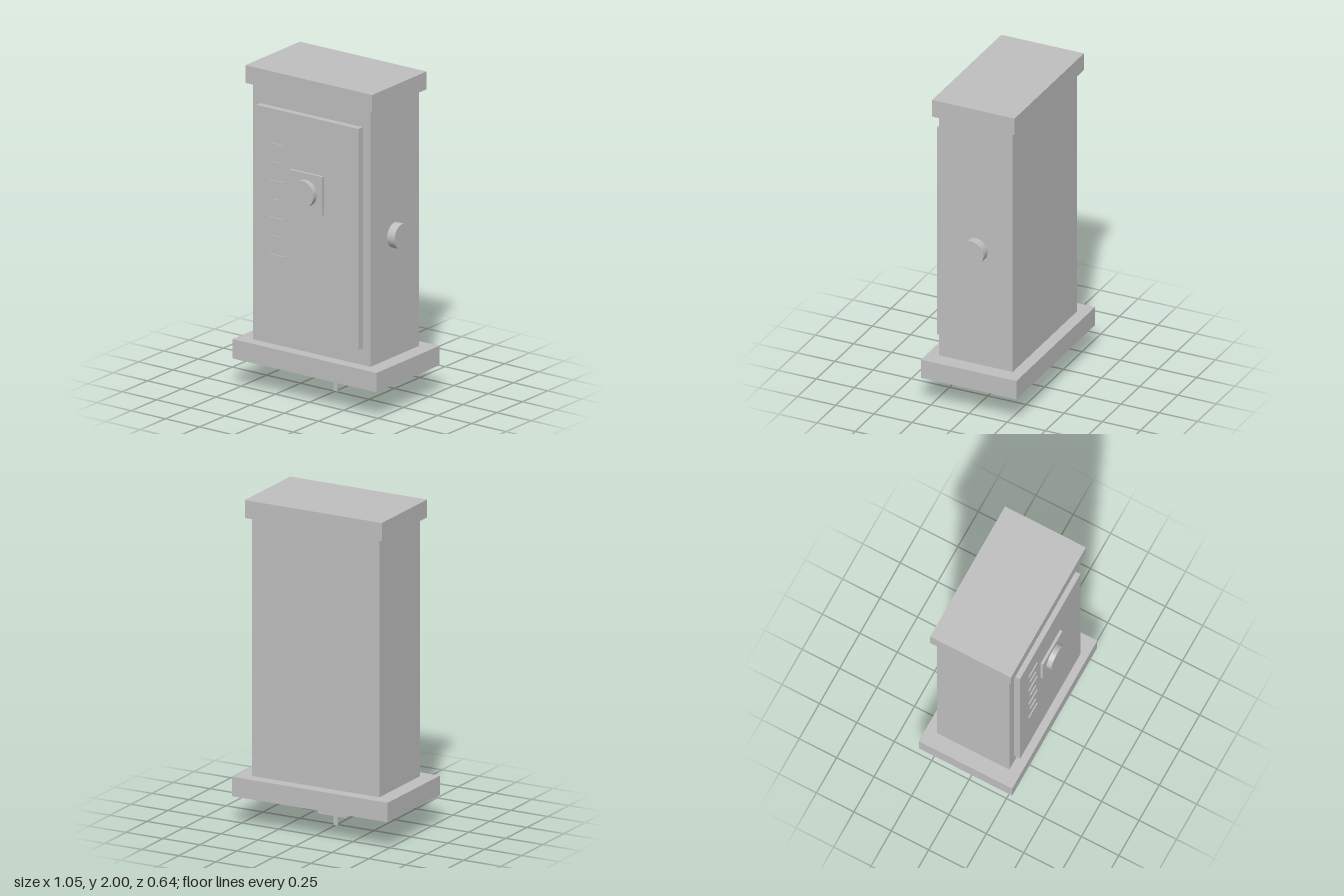
import * as THREE from 'three';

export function createModel() {
  const model = new THREE.Group();
  model.name = 'cabinet';
  const grey = new THREE.MeshStandardMaterial({ color: 0xbfbfbf });
  grey.name = 'light grey';
  const ZC = -0.0105; // depth centre of the housing

  function add(name, geometry, x, y, z) {
    const mesh = new THREE.Mesh(geometry, grey);
    mesh.name = name;
    mesh.position.set(x, y, z);
    model.add(mesh);
    return mesh;
  }

  // Box given by its limits on each axis
  function box(name, x0, x1, y0, y1, z0, z1) {
    return add(name, new THREE.BoxGeometry(x1 - x0, y1 - y0, z1 - z0),
      (x0 + x1) / 2, (y0 + y1) / 2, (z0 + z1) / 2);
  }

  // Cylinder lying along x; half = only the lower half
  function rodX(name, radius, x0, x1, y, z, half = false) {
    const g = new THREE.CylinderGeometry(radius, radius, x1 - x0, 48, 1, false,
      half ? Math.PI : 0, half ? Math.PI : Math.PI * 2);
    g.rotateZ(Math.PI / 2);
    return add(name, g, (x0 + x1) / 2, y, z);
  }

  // Housing
  box('base', -0.526, 0.526, 0.18, 0.30, ZC - 0.312, ZC + 0.312);
  box('body', -0.43, 0.43, 0.30, 1.89, ZC - 0.241, ZC + 0.241);
  box('cap', -0.463, 0.463, 1.89, 2.0, ZC - 0.27, ZC + 0.27);

  // Door with its dial
  box('door', -0.374, 0.374, 0.405, 1.775, 0.23, 0.272);
  box('dialPlate', -0.12, 0.12, 1.19, 1.43, 0.272, 0.289);
  const dial = new THREE.CylinderGeometry(0.081, 0.081, 0.033, 48);
  dial.rotateX(Math.PI / 2);
  add('dial', dial, 0, 1.31, 0.3055);

  // Scale marks, alternately long and short
  for (let i = 0; i < 7; i++) {
    const half = i % 2 ? 0.035 : 0.0525;
    const y = 1.56 - i * 0.115;
    box('scaleMark', -0.22 - half, -0.22 + half, y - 0.005, y + 0.005, 0.272, 0.279);
  }

  // Knob on the left side
  rodX('sideKnob', 0.077, 0.43, 0.485, 1.055, ZC);

  // Flared block under the base, with a thin blade
  const flare = new THREE.Shape();
  flare.moveTo(-0.095, 0.07);
  flare.lineTo(0.095, 0.07);
  flare.lineTo(0.078, 0.18);
  flare.lineTo(-0.078, 0.18);
  flare.closePath();
  add('flaredBlock', new THREE.ExtrudeGeometry(flare, { depth: 0.1, bevelEnabled: false }),
    0, 0, ZC - 0.05);
  box('blade', -0.013, 0.013, 0, 0.07, ZC - 0.007, ZC + 0.007);

  // Half wheel, its shaft and end bar
  rodX('shaft', 0.033, 0.07, 0.125, 0.18, ZC, true);
  rodX('halfWheel', 0.107, 0.125, 0.2, 0.18, ZC, true);
  box('endBar', 0.2, 0.218, 0.15, 0.18, ZC - 0.12, ZC + 0.12);

  return model;
}
